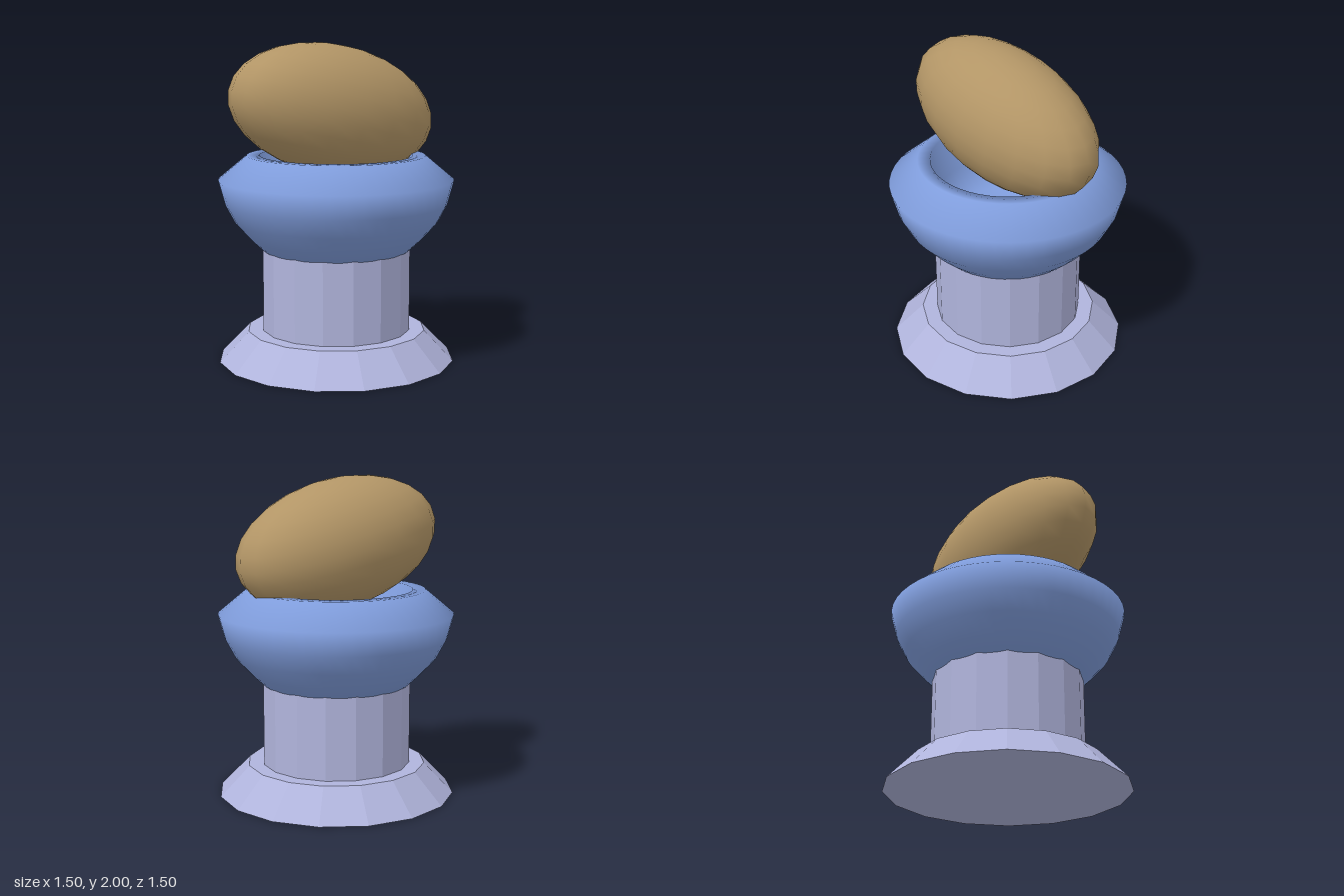
import * as THREE from 'three';

const stone = new THREE.MeshStandardMaterial({ color: 0xb0b4dc, flatShading: true });
const glaze = new THREE.MeshStandardMaterial({ color: 0x7f9cdb, side: THREE.DoubleSide });
const tan = new THREE.MeshStandardMaterial({ color: 0xb29566 });

export function createModel() {
  const group = new THREE.Group();
  const add = (name, geometry, material, y = 0) => {
    const mesh = new THREE.Mesh(geometry, material);
    mesh.name = name;
    mesh.position.y = y;
    group.add(mesh);
    return mesh;
  };

  // Faceted pedestal: tapered foot and straight column
  add('foot', new THREE.CylinderGeometry(0.565, 0.75, 0.19, 16), stone, 0.095);
  add('column', new THREE.CylinderGeometry(0.47, 0.47, 0.6, 16), stone, 0.48);

  // Smooth bowl: outer wall, shoulder, flat rim, then the hollow
  const profile = [
    [0, 0.66], [0.4, 0.66], [0.465, 0.705], [0.54, 0.775], [0.64, 0.885], [0.7, 1.0],
    [0.74, 1.15], [0.56, 1.3], [0.48, 1.3], [0.44, 1.05], [0.32, 0.9], [0, 0.85],
  ].map(([r, y]) => new THREE.Vector2(r, y));
  add('bowl', new THREE.LatheGeometry(profile, 48), glaze);

  // Tilted egg resting in the bowl
  const egg = add('egg', new THREE.SphereGeometry(1, 20, 14), tan);
  egg.scale.set(0.715, 0.402, 0.387);
  egg.rotation.set(0, 0.33, -0.2, 'YXZ');
  egg.position.set(-0.02, 1.583, 0.01);

  return group;
}
